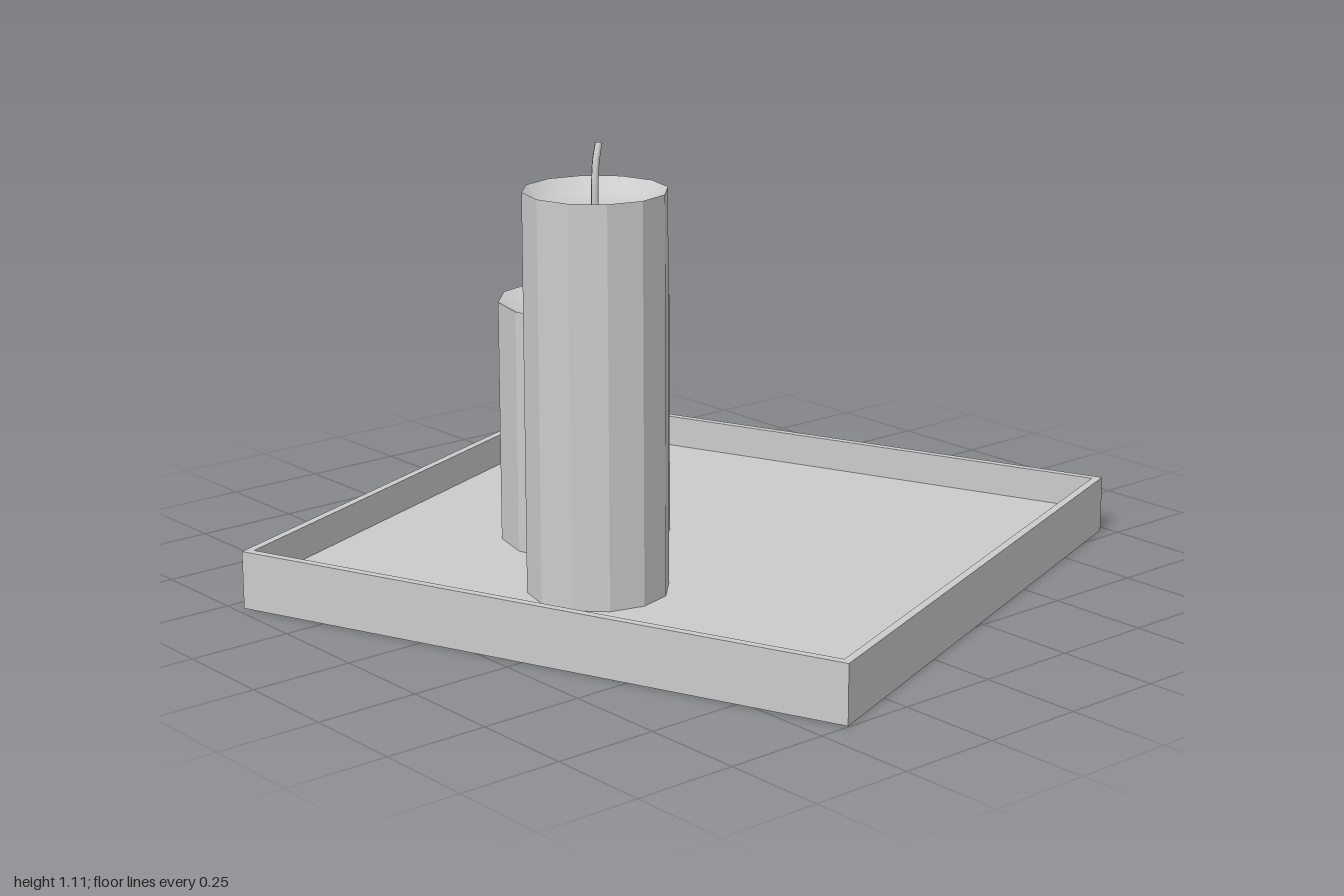
import * as THREE from 'three';

const material = new THREE.MeshStandardMaterial({ color: 0xcccccc, flatShading: true });
const smooth = new THREE.MeshStandardMaterial({ color: 0xcccccc });
const FLOOR = 0.06; // height of the tray floor

function addMesh(parent, name, geometry, mat = material) {
  const mesh = new THREE.Mesh(geometry, mat);
  mesh.name = name;
  parent.add(mesh);
  return mesh;
}

const rectangle = (Type, w, d) => new Type([
  new THREE.Vector2(-w / 2, -d / 2), new THREE.Vector2(w / 2, -d / 2),
  new THREE.Vector2(w / 2, d / 2), new THREE.Vector2(-w / 2, d / 2),
]);

// Shallow tray: a thin raised rim around a floor, turned on the ground
function createTray() {
  const tray = new THREE.Group();
  tray.name = 'tray';
  const w = 1.5, d = 1.56, height = 0.14, wall = 0.02;
  const frame = rectangle(THREE.Shape, w, d);
  frame.holes.push(rectangle(THREE.Path, w - 2 * wall, d - 2 * wall));
  const rim = new THREE.ExtrudeGeometry(frame, { depth: height, bevelEnabled: false });
  addMesh(tray, 'trayRim', rim.rotateX(-Math.PI / 2));
  const floor = new THREE.BoxGeometry(w - 2 * wall, FLOOR, d - 2 * wall);
  addMesh(tray, 'trayFloor', floor.translate(0, FLOOR / 2, 0));
  tray.rotation.y = THREE.MathUtils.degToRad(21);
  return tray;
}

// Twelve-sided candle with a melted hollow and a bent wick
function createCandle({ name, x, z, radius, pool, top, depth, wickTop }) {
  const candle = new THREE.Group();
  candle.name = name;
  candle.position.set(x, 0, z);
  const lathe = (points) =>
    new THREE.LatheGeometry(points.map(([r, y]) => new THREE.Vector2(r, y)), 12);

  addMesh(candle, 'waxBody', lathe([[0, FLOOR], [radius, FLOOR], [radius, top]]));
  addMesh(candle, 'meltedHollow', lathe([
    [radius, top], [pool, top - depth * 0.8], [pool * 0.5, top - depth], [0, top - depth],
  ]), smooth);

  // The wick rises straight, then leans to the back left
  const base = top - depth - 0.01;
  const rise = wickTop - base;
  const path = new THREE.CatmullRomCurve3([
    new THREE.Vector3(-0.005, base, 0.005),
    new THREE.Vector3(-0.003, base + rise * 0.4, 0.003),
    new THREE.Vector3(0.006, base + rise * 0.75, -0.004),
    new THREE.Vector3(0.022, wickTop, -0.013),
  ]);
  addMesh(candle, 'wick', new THREE.TubeGeometry(path, 8, 0.009, 6), smooth);
  const tip = addMesh(candle, 'wickTip', new THREE.CircleGeometry(0.009, 6));
  tip.position.copy(path.getPoint(1));
  tip.quaternion.setFromUnitVectors(new THREE.Vector3(0, 0, 1), path.getTangent(1));
  return candle;
}

export function createModel() {
  const model = new THREE.Group();
  model.name = 'candleTray';
  model.add(
    createTray(),
    createCandle({
      name: 'tallCandle', x: -0.37, z: 0.105, radius: 0.167, pool: 0.13,
      top: 1.005, depth: 0.04, wickTop: 1.107,
    }),
    createCandle({
      name: 'shortCandle', x: -0.135, z: -0.23, radius: 0.209, pool: 0.158,
      top: 0.655, depth: 0.025, wickTop: 0.713,
    }),
  );
  return model;
}
